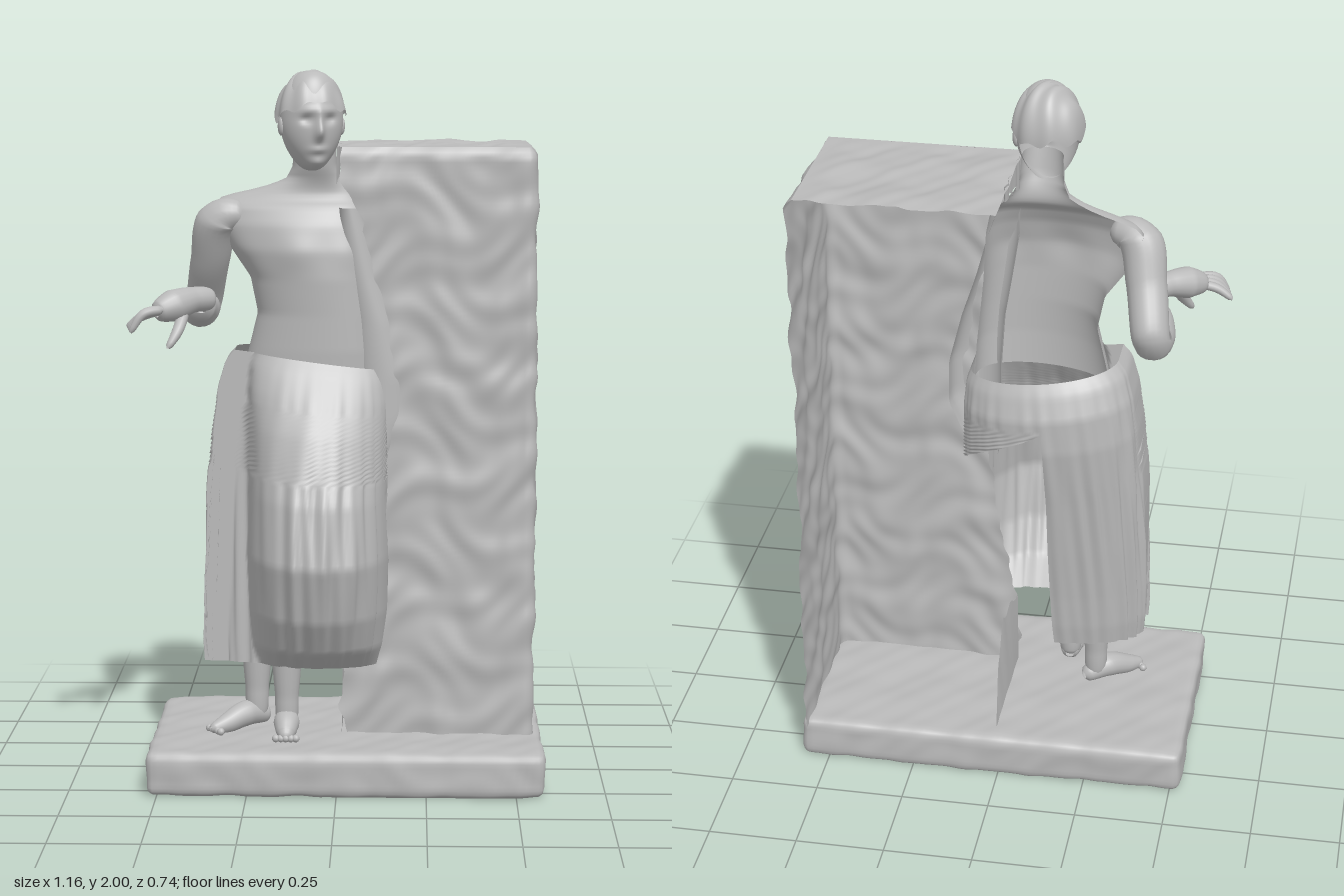
import * as THREE from 'three';
import { mergeVertices } from 'three/addons/utils/BufferGeometryUtils.js';

const stone = new THREE.MeshStandardMaterial({ color: 0xbababa, side: THREE.DoubleSide });
stone.name = 'greyStone';

const clamp = THREE.MathUtils.clamp;
const lerp = THREE.MathUtils.lerp;

// Soft lumps of rough-hewn stone
const rough = (x, y, z) =>
  Math.sin(17 * (x + z) + 2 * Math.sin(11 * y)) * Math.sin(16 * y + 2 * Math.sin(13 * (z - x))) +
  0.6 * Math.sin(35 * y + 3 * Math.sin(17 * x + 14 * z)) * Math.sin(31 * x + 29 * z + 2 * Math.sin(19 * y));

// Interpolates rows of [key, values...] sorted by rising key
function sample(rows, key) {
  let i = 0;
  while (i < rows.length - 2 && key > rows[i + 1][0]) i++;
  const a = rows[i], b = rows[i + 1];
  const t = clamp((key - a[0]) / (b[0] - a[0]), 0, 1);
  return a.map((n, k) => lerp(n, b[k], t));
}

function smooth(geometry) {
  geometry.deleteAttribute('normal');
  geometry.deleteAttribute('uv');
  const merged = mergeVertices(geometry, 1e-5);
  merged.computeVertexNormals();
  return merged;
}

function add(parent, name, geometry) {
  const mesh = new THREE.Mesh(geometry, stone);
  mesh.name = name;
  parent.add(mesh);
  return mesh;
}

// Surface from a rule point(u, v) -> [x, y, z]
function sheet(nu, nv, point) {
  const pos = [], index = [];
  for (let j = 0; j <= nv; j++) {
    for (let i = 0; i <= nu; i++) {
      pos.push(...point(i / nu, j / nv));
      if (i < nu && j < nv) {
        const a = j * (nu + 1) + i, c = a + nu + 1;
        index.push(a, a + 1, c + 1, a, c + 1, c);
      }
    }
  }
  const g = new THREE.BufferGeometry();
  g.setAttribute('position', new THREE.Float32BufferAttribute(pos, 3));
  g.setIndex(index);
  return smooth(g);
}

// Round limb through points [x, y, z, radius]
function limb(points, sides = 16, steps = 28) {
  const curve = new THREE.CatmullRomCurve3(points.map(p => new THREE.Vector3(p[0], p[1], p[2])));
  const frames = curve.computeFrenetFrames(steps);
  return sheet(sides, steps, (u, v) => {
    const k = Math.round(v * steps), a = u * Math.PI * 2;
    const s = v * (points.length - 1), i = Math.min(Math.floor(s), points.length - 2);
    const r = lerp(points[i][3], points[i + 1][3], s - i) * Math.pow(Math.sin(Math.PI * clamp(v, 0.0005, 0.9995)), 0.14);
    const p = curve.getPoint(v);
    p.addScaledVector(frames.normals[k], r * Math.cos(a)).addScaledVector(frames.binormals[k], r * Math.sin(a));
    return p.toArray();
  });
}

// Slab with softened, slightly uneven edges
function plinth() {
  const size = [1.11, 0.125, 0.67], r = 0.025;
  const g = new THREE.BoxGeometry(...size, 64, 10, 40);
  const p = g.attributes.position, v = new THREE.Vector3();
  for (let i = 0; i < p.count; i++) {
    v.fromBufferAttribute(p, i);
    const core = new THREE.Vector3(...v.toArray().map((n, k) => clamp(n, -size[k] / 2 + r, size[k] / 2 - r)));
    const out = v.clone().sub(core).normalize();
    v.copy(core).addScaledVector(out, r + 0.003 * rough(v.x, v.y, v.z));
    p.setXYZ(i, v.x + 0.025, Math.max(0, v.y + 0.0625), v.z - 0.015);
  }
  return smooth(g);
}

// Hollow block: front, one side and top, with a torn inner edge
function buildBlock(parent) {
  const block = new THREE.Group();
  block.name = 'stoneBlock';
  parent.add(block);
  const edge = [[0.11, 0.03], [0.2, 0.005], [0.35, 0.02], [0.6, 0.07], [0.9, 0.11], [1.15, 0.13],
    [1.4, 0.09], [1.58, 0.07], [1.66, 0.03], [1.71, 0.0], [1.79, 0.01]];
  add(block, 'blockWalls', sheet(84, 120, (u, v) => {
    const y = lerp(0.11, 1.788, v), left = sample(edge, y)[1] + 0.006 * Math.sin(y * 70) * Math.sin(y * 23);
    const r = 0.03, inset = 0.02 * Math.pow(clamp((y - 1.755) / 0.033, 0, 1), 2);
    let x, z, nx = 0, nz = 1;
    if (u < 0.54) {
      x = lerp(left, 0.555 - r, u / 0.54); z = 0.08;
    } else if (u < 0.6) {
      const a = (u - 0.54) / 0.06 * Math.PI / 2;
      nx = Math.sin(a); nz = Math.cos(a);
      x = 0.555 - r + r * nx; z = 0.08 - r + r * nz;
    } else {
      const back = -0.361 + 0.005 * Math.sin(31 * y + 2 * Math.sin(17 * y));
      x = 0.555; z = lerp(0.08 - r, back, (u - 0.6) / 0.4); nx = 1; nz = 0;
    }
    const d = 0.006 * rough(x, y, z) * (1 - inset * 40) - inset;
    return [x + nx * d, y, z + nz * d];
  }));
  add(block, 'blockTop', sheet(40, 30, (u, v) => {
    const x = lerp(-0.005, 0.537, u), z = lerp(0.062, -0.363, v);
    const border = Math.min(1, 8 * Math.min(1 - u, v));
    return [x, 1.788 + 0.005 * rough(x, 1.8, z) * border, z + (v === 1 ? 0.003 * Math.sin(60 * x + 3 * Math.sin(23 * x)) : 0)];
  }));
  // Torn remains of the inner side
  add(block, 'upperInnerEdge', sheet(20, 6, (u, v) => {
    const drop = 0.03 + 0.07 * u + 0.012 * Math.sin(u * 19);
    return [0.004 * Math.sin(30 * u), 1.788 - drop * (1 - v), lerp(-0.2, 0.07, u)];
  }));
  add(block, 'lowerInnerEdge', sheet(20, 8, (u, v) => {
    const height = 0.24 * Math.min(1, u / 0.6) + 0.012 * Math.sin(u * 25);
    return [0.01 + 0.02 * Math.sin(u * 3) * v, 0.115 + height * v, lerp(-0.3, 0.075, u)];
  }));
}

// Draped cloth over a bent knee, torn away at the back beside the block
function skirt() {
  const rows = [ // y, left, right, back, front
    [0.33, -0.375, 0.115, -0.13, 0.155], [0.39, -0.38, 0.13, -0.14, 0.25], [0.49, -0.38, 0.14, -0.15, 0.315],
    [0.65, -0.375, 0.145, -0.17, 0.365], [0.82, -0.365, 0.14, -0.19, 0.325], [1.0, -0.35, 0.14, -0.215, 0.24],
    [1.1, -0.335, 0.14, -0.215, 0.18], [1.17, -0.315, 0.135, -0.19, 0.135], [1.2, -0.29, 0.125, -0.17, 0.12]];
  const tear = [[0.33, 0.42], [0.88, 0.46], [0.98, 0.75], [1.06, 1]];
  return sheet(180, 70, (u, v) => {
    const y = lerp(0.33, 1.2, v), a = lerp(-1, sample(tear, y)[1], u) * Math.PI;
    const [, xl, xr, zb, zf] = sample(rows, y);
    const fold = 0.009 * Math.sin(Math.PI * Math.min(1, (1 - v) * 2 + 0.02) / 2);
    const f = 1 + fold * (2.2 * Math.sin(22 * a + 2 * Math.sin(3 * a + 4 * v)) + 1.4 * Math.sin(37 * a + 5 * v));
    const x = (xl + xr) / 2 + (xr - xl) / 2 * Math.sin(a) * f;
    let z = (zb + 0.1) / 2 + (0.1 - zb) / 2 * Math.cos(a) * f;
    if (Math.cos(a) > 0) {
      const across = (x + 0.055) / (xr + 0.055);
      const knee = 0.06 + (zf - 0.06) * Math.sqrt(Math.max(0, 1 - across * across)) * (1 + 1.2 * (f - 1));
      z = Math.max(z, knee);
    }
    return [x, y - 0.13 * (x + 0.12) * v * v, z];
  });
}

// Open-backed front of the trunk, rising into the neck
function torso() {
  const rows = [ // y, left, right, edge depth, bulge
    [1.12, -0.28, 0.12, -0.05, 0.14], [1.22, -0.255, 0.115, -0.04, 0.135], [1.32, -0.23, 0.105, -0.035, 0.13],
    [1.42, -0.25, 0.095, -0.035, 0.135], [1.5, -0.305, 0.09, -0.04, 0.14], [1.57, -0.345, 0.085, -0.045, 0.13],
    [1.62, -0.355, 0.075, -0.045, 0.105], [1.645, -0.33, 0.06, -0.05, 0.08], [1.67, -0.22, 0.035, -0.045, 0.07],
    [1.695, -0.15, 0.01, -0.035, 0.065], [1.73, -0.13, -0.005, -0.02, 0.065], [1.8, -0.125, -0.01, -0.01, 0.07]];
  return sheet(48, 60, (u, v) => {
    const y = lerp(1.12, 1.8, v), a = u * Math.PI;
    const [, xl, xr, z0, bulge] = sample(rows, y);
    const x = (xl + xr) / 2 - (xr - xl) / 2 * Math.cos(a);
    const chest = 0.008 * Math.exp(-Math.pow((y - 1.5) / 0.05, 2)) * Math.cos(18 * (x + 0.12)) ** 2;
    return [x, y, z0 + 0.13 * (x + 0.13) + (bulge + chest) * Math.pow(Math.sin(a), 0.75)];
  });
}

// Arm pressed against the block, visible only from the front
function leftArm() {
  const rows = [ // y, inner, outer
    [0.86, 0.06, 0.12], [0.94, 0.05, 0.165], [1.02, 0.05, 0.2], [1.15, 0.05, 0.198],
    [1.3, 0.04, 0.16], [1.42, 0.02, 0.12], [1.55, 0.0, 0.085], [1.62, 0.0, 0.06]];
  return sheet(20, 40, (u, v) => {
    const y = lerp(0.86, 1.62, v), [, xl, xr] = sample(rows, y);
    return [(xl + xr) / 2 - (xr - xl) / 2 * Math.cos(u * Math.PI), y, 0.01 + 0.083 * Math.pow(Math.sin(u * Math.PI), 0.6)];
  });
}

function buildHead(parent) {
  const head = new THREE.Group();
  head.name = 'head';
  head.position.set(-0.075, 1.86, 0.04);
  head.rotation.y = 0.3;
  parent.add(head);
  const bump = (x, y, cx, cy, sx, sy) => Math.exp(-Math.pow((x - cx) / sx, 2) - Math.pow((y - cy) / sy, 2));
  // Face mask with brow, nose, lips and chin, open at the back
  add(head, 'face', sheet(60, 60, (u, v) => {
    const a = lerp(-0.35, Math.PI + 0.35, u), b = (v - 0.5) * Math.PI;
    const y = 0.138 * Math.sin(b), low = clamp(-y / 0.138, 0, 1);
    const x = -0.088 * Math.cos(a) * Math.pow(Math.cos(b), 0.8) * (1 - 0.3 * low * low);
    let z = 0.085 * Math.sin(a) * Math.pow(Math.cos(b), 0.65);
    if (z > 0) {
      z += 0.022 * bump(x, y, 0, -0.032, 0.013, 0.022) + 0.012 * bump(x, y, 0, 0.0, 0.011, 0.03) +
        0.009 * bump(x, y, 0, -0.078, 0.024, 0.01) + 0.012 * bump(x, y, 0, -0.115, 0.025, 0.017) +
        0.006 * bump(x, y, 0, 0.03, 0.06, 0.012) -
        0.012 * (bump(x, y, 0.034, 0.006, 0.017, 0.012) + bump(x, y, -0.034, 0.006, 0.017, 0.012));
    }
    return [x, y, z];
  }));
  // Hair combed over to one side, with a ragged lower edge
  add(head, 'hair', sheet(90, 24, (u, v) => {
    const a = u * Math.PI * 2, back = clamp(-Math.sin(a), 0, 1);
    const b = (1 - v) * (1.12 + 0.38 * back + 0.32 * Math.abs(Math.cos(a)) + 0.05 * Math.sin(9 * a));
    const x = -0.1 * Math.cos(a) * Math.sin(b), z = 0.1 * Math.sin(a) * Math.sin(b);
    const r = 1 + 0.025 * Math.sin(95 * x + 55 * z + 2 * Math.sin(30 * z));
    return [x * r, 0.138 * r * Math.cos(b), z * r - 0.005];
  }));
  for (const s of [-1, 1]) {
    const ear = add(head, 'ear', new THREE.SphereGeometry(1, 12, 10));
    ear.scale.set(0.01, 0.026, 0.016);
    ear.position.set(s * 0.086, -0.015, 0.0);
  }
}

export function createModel() {
  const model = new THREE.Group();
  model.name = 'statue';
  add(model, 'plinth', plinth());
  buildBlock(model);
  add(model, 'skirt', skirt());
  add(model, 'torso', torso());
  add(model, 'leftArm', leftArm());
  buildHead(model);

  // Bent arm; the wrist is separated from the forearm
  add(model, 'rightArm', limb([[-0.26, 1.6, 0.005, 0.045], [-0.335, 1.585, -0.01, 0.066], [-0.365, 1.47, -0.06, 0.056],
    [-0.39, 1.34, -0.135, 0.052], [-0.395, 1.325, -0.07, 0.058], [-0.385, 1.345, 0.04, 0.055]], 20, 40));

  const hand = new THREE.Group();
  hand.name = 'rightHand';
  model.add(hand);
  add(hand, 'palm', limb([[-0.35, 1.37, 0.11, 0.04], [-0.4, 1.372, 0.155, 0.036], [-0.45, 1.36, 0.2, 0.046],
    [-0.495, 1.345, 0.235, 0.036]]));
  for (let i = 0; i < 4; i++) {
    const t = i / 3;
    add(hand, 'finger', limb([[-0.475 + 0.02 * t, 1.355, 0.255 - 0.045 * t, 0.015],
      [-0.525 - 0.005 * t, 1.345 - 0.01 * t, 0.277 - 0.05 * t, 0.013],
      [-0.56 - 0.015 * t, 1.295 + 0.01 * t, 0.285 - 0.06 * t, 0.01]], 10, 14));
  }
  add(hand, 'thumb', limb([[-0.42, 1.345, 0.19, 0.019], [-0.435, 1.295, 0.235, 0.016], [-0.46, 1.25, 0.265, 0.011]], 10, 14));

  // Lower legs and bare feet
  const legs = [
    { name: 'right', x: -0.235, z: 0.0, toe: [-0.36, 0.1] },
    { name: 'left', x: -0.145, z: 0.1, toe: [-0.145, 0.19] },
  ];
  for (const { name, x, z, toe } of legs) {
    add(model, name + 'Leg', limb([[x, 0.6, z + 0.01, 0.058], [x, 0.4, z, 0.046], [x, 0.24, z, 0.034], [x, 0.15, z, 0.038]]));
    const dx = toe[0] - x, dz = toe[1] - z, length = Math.hypot(dx, dz);
    add(model, name + 'Foot', limb([[x - dx * 0.25, 0.153, z - dz * 0.25, 0.03], [x + dx * 0.25, 0.167, z + dz * 0.25, 0.038],
      [x + dx * 0.7, 0.146, z + dz * 0.7, 0.028], [toe[0], 0.138, toe[1], 0.018]]));
    for (let i = -2; i <= 2; i++) {
      const side = i * 0.014 / length;
      const ball = add(model, name + 'Toe', new THREE.SphereGeometry(0.011, 10, 8));
      ball.position.set(toe[0] - dx * 0.08 + dz * side, 0.135, toe[1] - dz * 0.08 - dx * side);
    }
  }
  return model;
}
